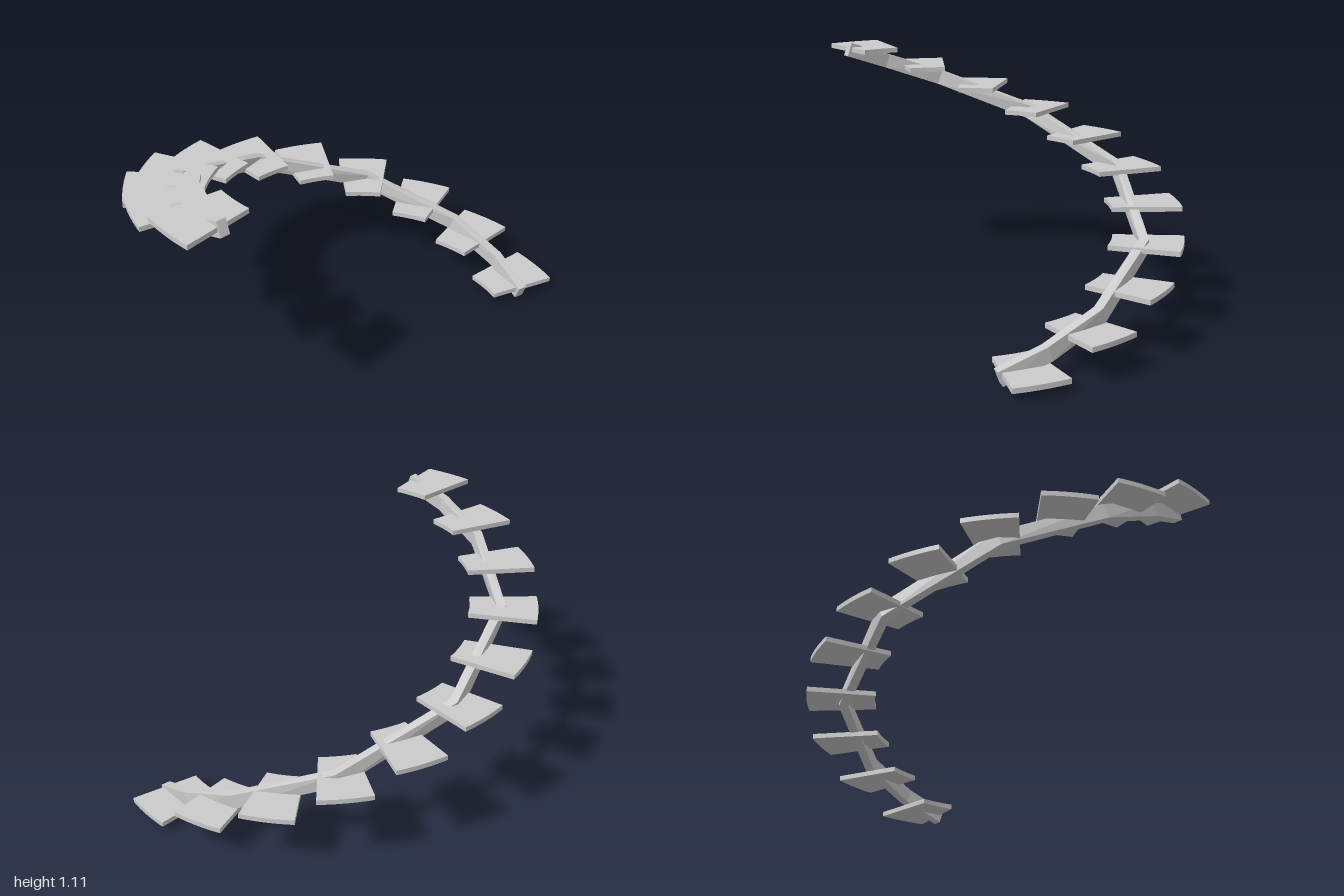
import * as THREE from 'three';

const CENTER_Z = 0.39;
const rad = THREE.MathUtils.degToRad;

// Wedge-shaped tread between two arcs, centred on the +x axis
function treadGeometry(inner, outer, halfAngle, thickness) {
  const shape = new THREE.Shape();
  shape.absarc(0, 0, outer, -halfAngle, halfAngle, false);
  shape.absarc(0, 0, inner, halfAngle, -halfAngle, true);
  shape.closePath();
  const geo = new THREE.ExtrudeGeometry(shape, { depth: thickness, bevelEnabled: false, curveSegments: 6 });
  geo.translate(0, 0, -thickness / 2);
  return geo.rotateX(-Math.PI / 2);
}

// Rectangular bar swept along a polyline, upright in the vertical plane
function barGeometry(points, width, height) {
  const up = new THREE.Vector3(0, 1, 0);
  const rings = points.map((p, i) => {
    const t = new THREE.Vector3();
    if (i > 0) t.add(p.clone().sub(points[i - 1]).normalize());
    if (i < points.length - 1) t.add(points[i + 1].clone().sub(p).normalize());
    t.normalize();
    const r = t.clone().cross(up).normalize();
    const u = r.clone().cross(t);
    return [[-1, -1], [1, -1], [1, 1], [-1, 1]].map(([a, b]) =>
      p.clone().addScaledVector(r, a * width / 2).addScaledVector(u, b * height / 2));
  });
  const verts = [];
  const quad = (a, b, c, d) => verts.push(a, b, c, a, c, d);
  for (let i = 0; i < rings.length - 1; i++) {
    for (let k = 0; k < 4; k++) {
      const n = (k + 1) % 4;
      quad(rings[i][k], rings[i + 1][k], rings[i + 1][n], rings[i][n]);
    }
  }
  quad(...rings[0]);
  quad(...rings[rings.length - 1].slice().reverse());
  const geo = new THREE.BufferGeometry().setFromPoints(verts);
  geo.computeVertexNormals();
  return geo;
}

export function createModel() {
  const group = new THREE.Group();
  group.name = 'curvedStaircase';
  const material = new THREE.MeshStandardMaterial({ color: 0xcccccc });

  // Eleven floating treads rising around the arc
  const treads = new THREE.Group();
  treads.name = 'treads';
  const geo = treadGeometry(0.69, 1, rad(6.9), 0.022);
  for (let i = 0; i < 11; i++) {
    const tread = new THREE.Mesh(geo, material);
    tread.name = `tread${i + 1}`;
    tread.rotation.y = rad(-5 + i * 19);
    tread.position.set(0, 0.049 + i * 0.1027, CENTER_Z);
    treads.add(tread);
  }
  group.add(treads);

  // Central faceted stringer climbing through the treads
  const path = [-12.5, 1.4, 19.6, 51, 90, 129, 160.4, 178.6, 192.5].map((deg) => {
    const a = rad(deg);
    return new THREE.Vector3(
      0.832 * Math.cos(a),
      0.555 + (deg - 90) * 0.0051,
      CENTER_Z - 0.832 * Math.sin(a));
  });
  const stringer = new THREE.Mesh(barGeometry(path, 0.043, 0.066), material);
  stringer.name = 'stringer';
  group.add(stringer);

  return group;
}
